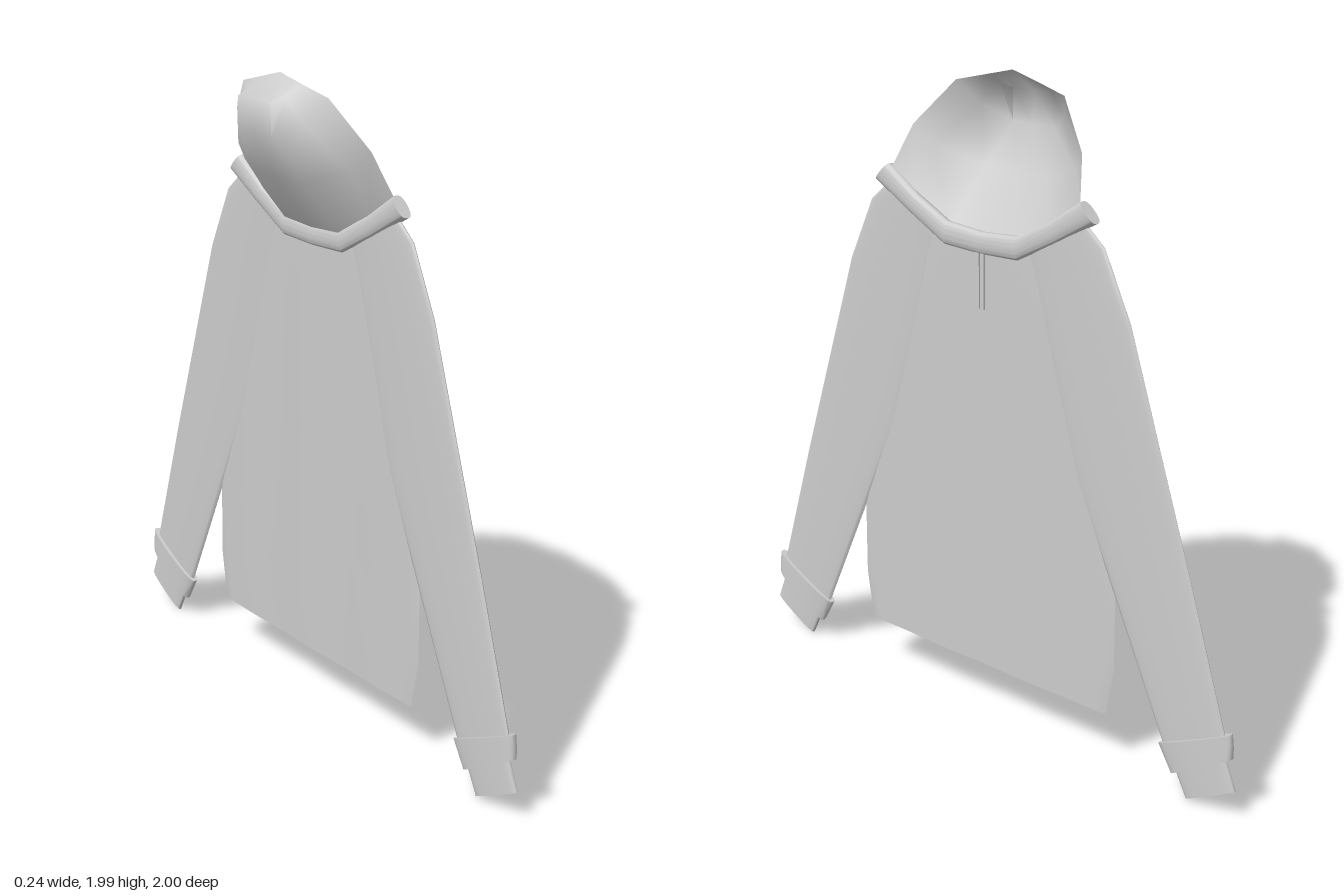
import * as THREE from 'three';
import { toCreasedNormals } from 'three/addons/utils/BufferGeometryUtils.js';

const material = new THREE.MeshStandardMaterial({ color: 0xcccccc, side: THREE.DoubleSide });
const CENTRE_X = 0.095;

// Surface through a grid of points given as rows of [x, y, z]
function gridGeometry(rows, crease) {
  const n = rows[0].length, index = [];
  for (let i = 0; i < rows.length - 1; i++) {
    for (let j = 0; j < n - 1; j++) {
      const a = i * n + j, b = a + 1, c = a + n, d = c + 1;
      index.push(a, b, c, b, d, c);
    }
  }
  const geometry = new THREE.BufferGeometry();
  geometry.setAttribute('position', new THREE.Float32BufferAttribute(rows.flat(2), 3));
  geometry.setIndex(index);
  return toCreasedNormals(geometry, crease);
}

// Flattened cloth tube: each row is [z1, y1, z2, y2], the two edges of a section
function clothTube(name, sections, halfThickness, { power = 0.6, fold = () => 0, segments = 32 } = {}) {
  const rows = sections.map(([z1, y1, z2, y2], i) => {
    const row = [];
    for (let j = 0; j <= segments; j++) {
      const a = (j / segments) * Math.PI * 2;
      const c = Math.cos(a), s = j % (segments / 2) ? Math.sin(a) : 0;
      const x = CENTRE_X + Math.sign(s) * Math.abs(s) ** power * halfThickness
        + fold(c, i / (sections.length - 1));
      row.push([x, (y1 + y2) / 2 + c * (y1 - y2) / 2, (z1 + z2) / 2 + c * (z1 - z2) / 2]);
    }
    return row;
  });
  // Close both ends
  const closed = ([z1, y1, z2, y2]) =>
    Array.from({ length: segments + 1 }, () => [CENTRE_X, (y1 + y2) / 2, (z1 + z2) / 2]);
  rows.unshift(closed(sections[0]));
  rows.push(closed(sections[sections.length - 1]));
  const mesh = new THREE.Mesh(gridGeometry(rows, 0.9), material);
  mesh.name = name;
  return mesh;
}

function createHood() {
  // Half rows from the face opening round to the middle of the back, neck to crown
  const half = [
    [[0.1, 1.67, 0.39], [0.095, 1.6, 0.28], [0.085, 1.53, 0.14], [0.08, 1.53, 0]],
    [[0.045, 1.81, 0.345], [0.01, 1.75, 0.29], [-0.045, 1.7, 0.13], [-0.05, 1.7, 0]],
    [[-0.015, 1.95, 0.22], [-0.07, 1.88, 0.17], [-0.12, 1.83, 0.085], [-0.12, 1.83, 0]],
    [[-0.025, 1.975, 0.11], [-0.08, 1.945, 0.1], [-0.12, 1.93, 0.085], [-0.12, 1.93, 0]],
    [[-0.025, 1.975, 0.11], [-0.027, 1.984, 0.07], [-0.03, 1.992, 0.035], [-0.03, 2, 0]],
  ];
  const rows = half.map((row) => [
    ...row.map(([x, y, z]) => [x, y, -z]),
    ...row.slice(0, -1).reverse(),
  ].reverse());
  const mesh = new THREE.Mesh(gridGeometry(rows, 1.2), material);
  mesh.name = 'hood';
  return mesh;
}

function createArm(side) {
  const arm = new THREE.Group();
  arm.name = side > 0 ? 'sleeveFront' : 'sleeveBack';
  arm.add(
    clothTube('sleeve', [
      [0.96, 0.24, 0.74, 0.14],
      [0.82, 0.67, 0.54, 0.55],
      [0.70, 1.02, 0.385, 0.87],
      [0.58, 1.37, 0.28, 1.2],
      [0.48, 1.57, 0.2, 1.46],
      [0.40, 1.635, 0.19, 1.51],
    ], 0.011),
    clothTube('cuffBand', [
      [0.985, 0.19, 0.77, 0.07],
      [0.985, 0.225, 0.745, 0.11],
      [0.98, 0.265, 0.72, 0.15],
    ], 0.022),
    clothTube('cuffEnd', [
      [1, 0.095, 0.825, 0.008],
      [0.96, 0.19, 0.775, 0.1],
    ], 0.012),
  );
  arm.scale.z = side;
  return arm;
}

export function createModel() {
  const group = new THREE.Group();
  group.name = 'hoodedJacket';

  // Body: flat panel, with shallow folds that fade towards the neck
  const outline = [
    [0.165, 0.51], [0.26, 0.53], [0.32, 0.54], [0.55, 0.54],
    [0.9, 0.47], [1.2, 0.42], [1.45, 0.36], [1.51, 0.24],
  ];
  group.add(clothTube('body', outline.map(([y, w]) => [w, y, -w, y]), 0.008, {
    power: 0.5,
    fold: (c, v) => -0.003 * (1 - v) * (1 - c * c) * Math.cos(c * 9),
  }));

  // Sleeves with cuffs
  for (const side of [1, -1]) group.add(createArm(side));

  // Collar band, dipping at the throat
  group.add(clothTube('collar', [
    [0.395, 1.69, 0.45, 1.635],
    [0.27, 1.61, 0.3, 1.555],
    [0.145, 1.55, 0.15, 1.48],
    [0, 1.54, 0, 1.475],
    [-0.145, 1.55, -0.15, 1.48],
    [-0.27, 1.61, -0.3, 1.555],
    [-0.395, 1.69, -0.45, 1.635],
  ], 0.021));

  group.add(createHood());

  // Short placket at the throat
  for (const side of [1, -1]) {
    const strip = new THREE.Mesh(new THREE.BoxGeometry(0.012, 0.18, 0.015), material);
    strip.name = 'placketStrip';
    strip.position.set(0.102, 1.4, side * 0.01);
    group.add(strip);
  }
  return group;
}
